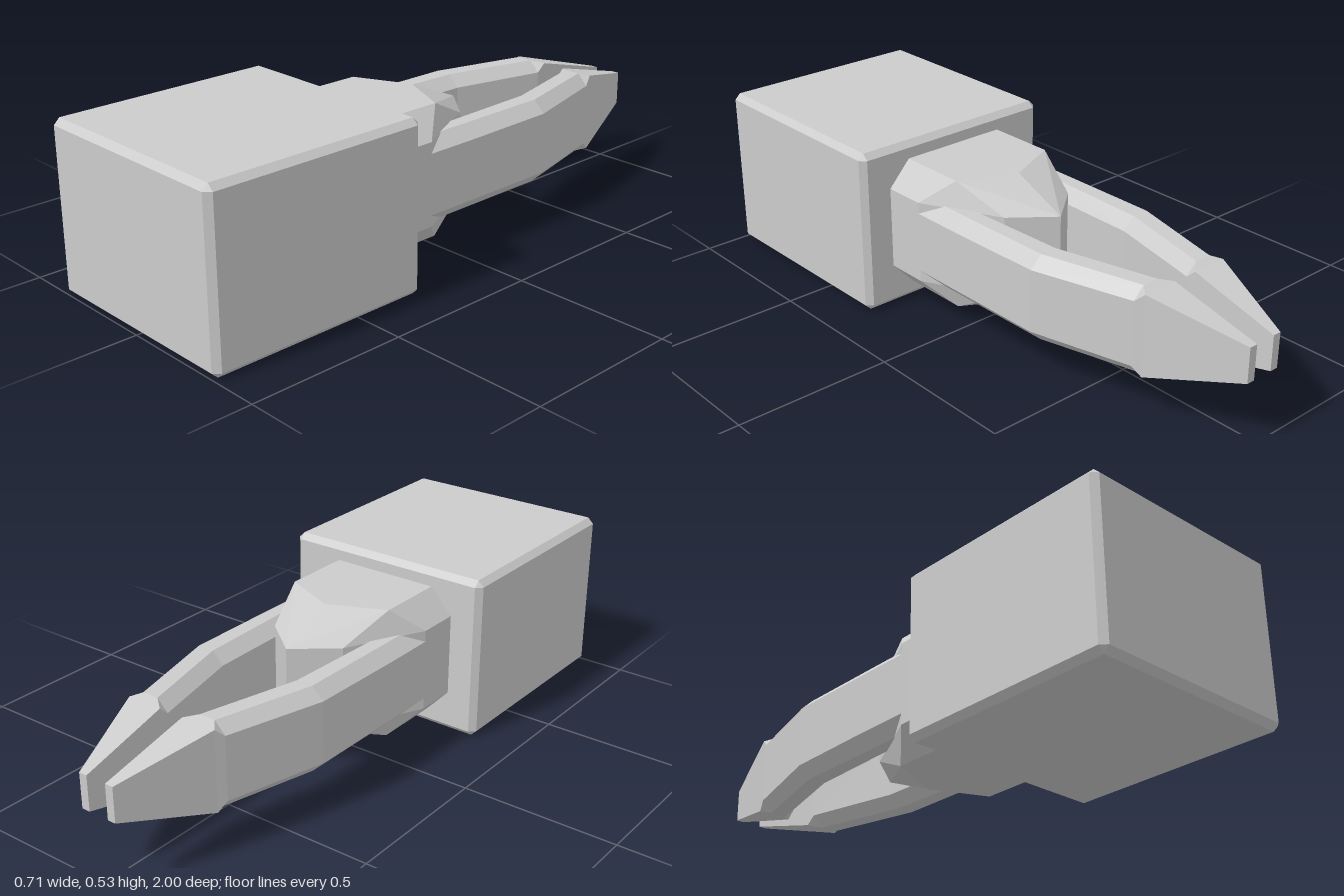
import * as THREE from 'three';
import { ConvexGeometry } from 'three/addons/geometries/ConvexGeometry.js';

const MID_Y = 0.267;
const material = new THREE.MeshStandardMaterial({ color: 0xcccccc, flatShading: true });

function addMesh(parent, name, geometry) {
  const mesh = new THREE.Mesh(geometry, material);
  mesh.name = name;
  mesh.position.y = MID_Y;
  parent.add(mesh);
}

// Box with every edge cut at 45 degrees
function chamferedBox(hx, hy, hz, c) {
  const points = [];
  for (const x of [-1, 1]) for (const y of [-1, 1]) for (const z of [-1, 1]) {
    points.push(
      new THREE.Vector3(x * hx, y * (hy - c), z * (hz - c)),
      new THREE.Vector3(x * (hx - c), y * hy, z * (hz - c)),
      new THREE.Vector3(x * (hx - c), y * (hy - c), z * hz));
  }
  return new ConvexGeometry(points);
}

// Pointed wedge, mirrored left to right and top to bottom
function wedge() {
  const corners = [
    [0.18, 0.213, 0.29], [0.18, 0.213, 0.04], [0, 0.213, -0.04],
    [0.255, 0.133, 0.29], [0.255, 0.133, 0.13], [0.13, 0.133, -0.12], [0, 0.133, -0.225],
  ];
  const points = [];
  for (const [x, y, z] of corners) {
    for (const sy of [-1, 1]) {
      points.push(new THREE.Vector3(x, sy * y, z));
      if (x > 0) points.push(new THREE.Vector3(-x, sy * y, z));
    }
  }
  return new ConvexGeometry(points);
}

// Eight-sided jaw section, anticlockwise seen from the front
function section({ z, inner, outer, h, c }, side) {
  return [
    [outer, h - c], [outer - c, h], [inner + c, h], [inner, h - c],
    [inner, c - h], [inner + c, -h], [outer - c, -h], [outer, c - h],
  ].map(([x, y]) => new THREE.Vector3(side * x, y, z));
}

function jaw(side) {
  const rings = [
    { z: 0.29, inner: 0.13, outer: 0.255, h: 0.137, c: 0.04 },
    { z: -0.04, inner: 0.13, outer: 0.255, h: 0.137, c: 0.04 },
    { z: -0.37, inner: 0.12, outer: 0.251, h: 0.137, c: 0.038 },
    { z: -0.685, inner: 0.042, outer: 0.168, h: 0.137, c: 0.036 },
    { z: -0.715, inner: 0.041, outer: 0.157, h: 0.128, c: 0 },
    { z: -1, inner: 0.034, outer: 0.061, h: 0.055, c: 0 },
  ].map((s) => section(s, side));

  const positions = [];
  const triangle = (a, b, c) => {
    if (a.equals(b) || b.equals(c) || c.equals(a)) return;
    for (const p of side > 0 ? [a, b, c] : [a, c, b]) positions.push(p.x, p.y, p.z);
  };
  for (let i = 0; i < rings.length - 1; i++) {
    for (let j = 0; j < 8; j++) {
      const k = (j + 1) % 8;
      triangle(rings[i][j], rings[i + 1][j], rings[i + 1][k]);
      triangle(rings[i][j], rings[i + 1][k], rings[i][k]);
    }
  }
  // End caps
  const first = rings[0], last = rings[rings.length - 1];
  for (let j = 1; j < 7; j++) {
    triangle(first[0], first[j], first[j + 1]);
    triangle(last[0], last[j + 1], last[j]);
  }
  const geometry = new THREE.BufferGeometry();
  geometry.setAttribute('position', new THREE.Float32BufferAttribute(positions, 3));
  geometry.computeVertexNormals();
  return geometry;
}

export function createModel() {
  const model = new THREE.Group();
  model.name = 'pincer';

  // Block at the front
  const block = chamferedBox(0.356, 0.267, 0.366, 0.019);
  block.translate(0, 0, 0.634);
  addMesh(model, 'block', block);

  // Wedge between the jaws, then the two jaws
  addMesh(model, 'wedge', wedge());
  addMesh(model, 'leftJaw', jaw(1));
  addMesh(model, 'rightJaw', jaw(-1));
  return model;
}
